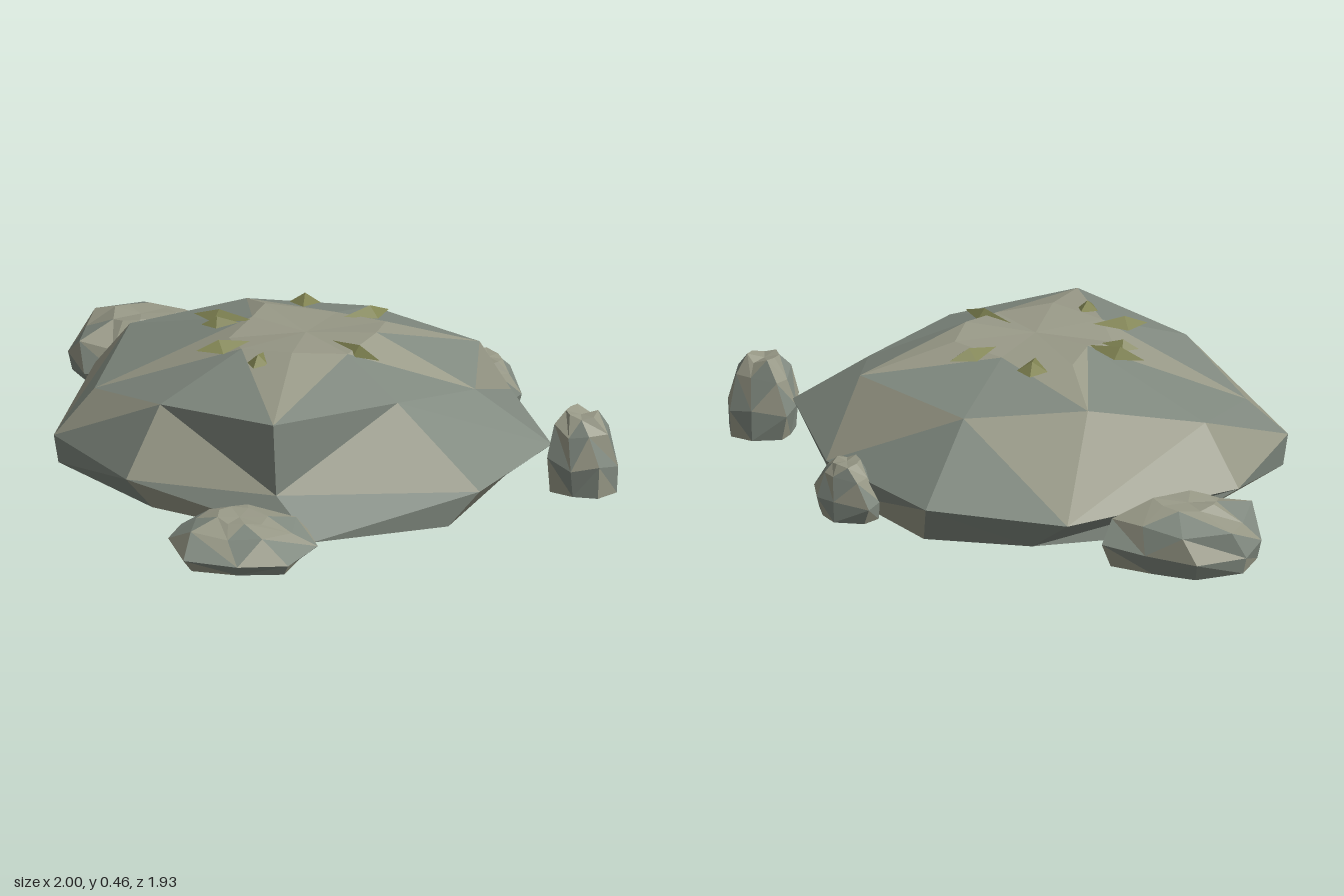
import * as THREE from 'three';

const makeMaterial = (name, color) => {
  const m = new THREE.MeshStandardMaterial({ color, flatShading: true, side: THREE.DoubleSide });
  m.name = name;
  return m;
};
const lightStone = makeMaterial('light stone', 0x989987);
const greyStone = makeMaterial('grey stone', 0x80897f);
const leafGreen = makeMaterial('leaf green', 0x7f8251);

// Each list of triangles becomes one geometry group with the matching material
function facetMesh(name, lists, materials) {
  const geo = new THREE.BufferGeometry();
  geo.setAttribute('position', new THREE.Float32BufferAttribute(lists.flat(3), 3));
  geo.computeVertexNormals();
  let start = 0;
  lists.forEach((list, i) => {
    geo.addGroup(start, list.length * 3, i);
    start += list.length * 3;
  });
  const mesh = new THREE.Mesh(geo, materials);
  mesh.name = name;
  return mesh;
}

// Skins a stack of rings, open below and fanned on top.
// tones: per band, L or G for the lower and upper facet of each side (repeats).
// rising: sides whose diagonal runs from the upper ring down to the next corner.
function shell(name, rings, centre, tones, rising) {
  const light = [], grey = [], n = rings[0].length;
  for (let r = 0; r < rings.length - 1; r++) {
    for (let i = 0; i < n; i++) {
      const j = (i + 1) % n;
      const a = rings[r][i], b = rings[r][j], c = rings[r + 1][j], d = rings[r + 1][i];
      const pair = rising.includes(i) ? [[a, d, b], [d, c, b]] : [[a, c, b], [a, d, c]];
      pair.forEach((tri, k) => {
        const tone = tones[r][(i * 2 + k) % tones[r].length];
        (tone === 'L' ? light : grey).push(tri);
      });
    }
  }
  const top = rings[rings.length - 1];
  top.forEach((p, i) => light.push([p, centre, top[(i + 1) % n]]));
  return facetMesh(name, [light, grey], [lightStone, greyStone]);
}

// Small boulder raised from its plan outline, with uneven, slightly twisted rings
function pebble(name, outline, height, profile, seed) {
  const rand = () => {
    seed = (seed * 16807) % 2147483647;
    return seed / 2147483647 - 0.5;
  };
  const n = outline.length;
  const cx = outline.reduce((s, p) => s + p[0], 0) / n;
  const cz = outline.reduce((s, p) => s + p[1], 0) / n;
  const rings = profile.map(([scale, level, twist], r) => outline.map(([x, z]) => {
    const s = scale * (scale === 1 ? 1 : 1 + rand() * 0.2);
    const y = r === 0 ? 0 : height * Math.min(1, level + rand() * 0.14);
    const dx = (x - cx) * s, dz = (z - cz) * s, co = Math.cos(twist), si = Math.sin(twist);
    return [cx + dx * co - dz * si, y, cz + dx * si + dz * co];
  }));
  return shell(name, rings, [cx, height * 0.95, cz], ['GGLG', 'LGGL', 'GLLL'], [0, 2, 4, 6]);
}

// Folded kite-shaped leaf from its inner end to its outer tip
function leaf([ix, iz, ox, oz, width]) {
  const dx = ox - ix, dz = oz - iz, len = Math.hypot(dx, dz);
  const sx = -dz / len * width / 2, sz = dx / len * width / 2;
  const mx = ix + dx * 0.58, mz = iz + dz * 0.58;
  const inner = [ix, 0.445, iz], tip = [ox, 0.432, oz], ridge = [mx, 0.462, mz];
  const left = [mx + sx, 0.43, mz + sz], right = [mx - sx, 0.43, mz - sz];
  return facetMesh('leaf', [[
    [inner, left, ridge], [left, tip, ridge], [tip, right, ridge], [right, inner, ridge],
  ]], [leafGreen]);
}

export function createModel() {
  const model = new THREE.Group();
  model.name = 'rockCluster';

  // Main boulder: recessed base, widest ring, shoulder and crown
  model.add(shell('mainBoulder', [
    [[-0.27, 0, -0.82], [0.08, 0, -0.87], [0.46, 0, -0.58], [0.61, 0, -0.17], [0.56, 0, 0.32],
      [0.18, 0, 0.58], [-0.4, 0, 0.42], [-0.8, 0, 0.12], [-0.62, 0, -0.6]],
    [[-0.42, 0.12, -0.91], [0.04, 0.14, -0.97], [0.5, 0.12, -0.61], [0.77, 0.13, -0.15], [0.65, 0.11, 0.27],
      [0.04, 0.12, 0.51], [-0.47, 0.11, 0.48], [-0.81, 0.1, 0.14], [-0.84, 0.13, -0.44]],
    [[-0.36, 0.37, -0.53], [0.02, 0.34, -0.65], [0.45, 0.35, -0.42], [0.52, 0.3, -0.13], [0.35, 0.35, 0.18],
      [0.03, 0.36, 0.51], [-0.4, 0.32, 0.33], [-0.7, 0.24, 0.05], [-0.7, 0.31, -0.36]],
    [[-0.24, 0.44, -0.33], [0, 0.435, -0.33], [0.18, 0.445, -0.27], [0.19, 0.46, -0.13], [0.14, 0.44, 0.03],
      [-0.02, 0.46, 0.12], [-0.2, 0.44, 0.08], [-0.28, 0.42, -0.05], [-0.24, 0.45, -0.18]],
  ], [-0.04, 0.445, -0.11], ['GGLG', 'GLGLGLGGLGLGGLLGLL', 'GL'], [1, 4, 6, 8]));

  // Four small boulders around it: ring scale, level, twist
  const low = [[0.85, 0, 0], [1, 0.3, 0], [0.72, 0.78, 0.25], [0.32, 0.98, 0.5]];
  const tall = [[0.88, 0, 0], [1, 0.38, 0], [0.76, 0.78, 0.2], [0.45, 0.97, 0.45]];
  const broad = [[0.92, 0, 0], [1, 0.32, 0], [0.84, 0.73, 0.2], [0.38, 0.98, 0.45]];
  model.add(pebble('frontBoulder', [[-0.24, 0.64], [-0.1, 0.53], [0.16, 0.56], [0.24, 0.72],
    [0.19, 0.89], [0.04, 0.96], [-0.14, 0.96], [-0.24, 0.79]], 0.14, low, 11));
  model.add(pebble('backRightBoulder', [[-0.88, -0.97], [-0.7, -0.96], [-0.54, -0.92], [-0.54, -0.77],
    [-0.65, -0.6], [-0.77, -0.51], [-0.9, -0.52], [-1, -0.68], [-1, -0.83]], 0.2, broad, 23));
  model.add(pebble('leftBoulder', [[0.77, -0.21], [0.88, -0.24], [0.96, -0.22], [1, -0.12],
    [0.96, -0.04], [0.87, -0.02], [0.78, -0.06], [0.76, -0.14]], 0.265, tall, 37));
  model.add(pebble('backLeftBoulder', [[0.28, -0.83], [0.4, -0.83], [0.47, -0.79], [0.51, -0.7],
    [0.48, -0.63], [0.4, -0.62], [0.31, -0.67], [0.27, -0.75]], 0.185, tall, 53));

  // Leaves scattered round the crown: inner x, z, outer x, z, width
  const leaves = new THREE.Group();
  leaves.name = 'leaves';
  [
    [-0.11, -0.32, -0.14, -0.46, 0.1],
    [0.04, -0.27, 0.15, -0.41, 0.09],
    [-0.23, -0.16, -0.44, -0.2, 0.08],
    [-0.27, -0.13, -0.39, -0.11, 0.05],
    [-0.19, 0.02, -0.34, 0.12, 0.1],
    [-0.12, 0.1, -0.12, 0.22, 0.07],
    [0.06, -0.06, 0.25, 0.04, 0.06],
  ].forEach((spec) => leaves.add(leaf(spec)));
  model.add(leaves);

  return model;
}
